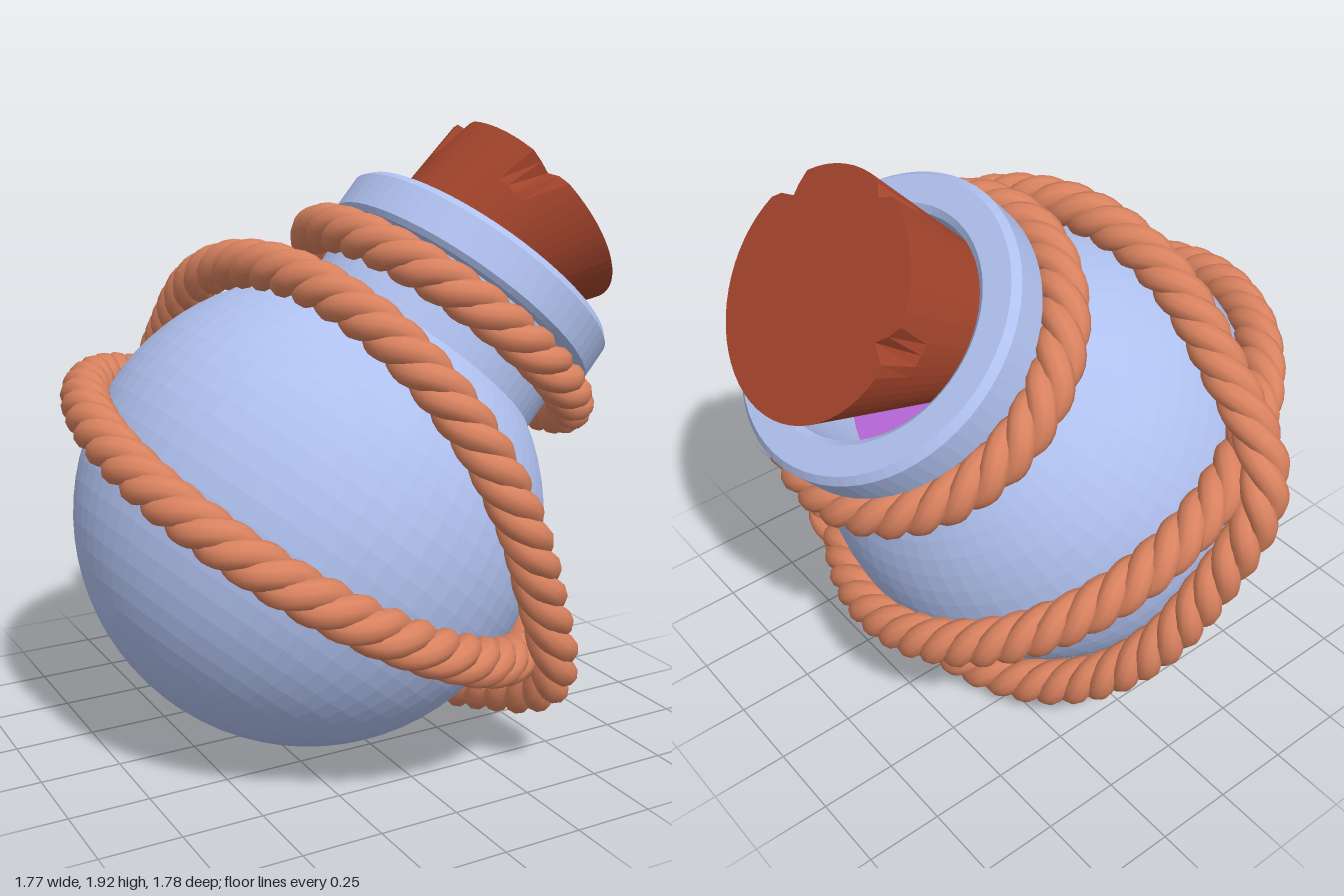
import * as THREE from 'three';

const CENTER = new THREE.Vector3(-0.11, 0.82, 0.045);
const TILT = -0.704; // lean of the bottle about z
const V = (x, y, z) => new THREE.Vector3(x, y, z);
const mat = (color, extra = {}) => new THREE.MeshStandardMaterial({ color, ...extra });

function add(parent, name, geometry, material) {
  const mesh = new THREE.Mesh(geometry, material);
  mesh.name = name;
  parent.add(mesh);
  return mesh;
}

// One strand twisting around a ring that lies in a plane through the ball
class Strand extends THREE.Curve {
  constructor(ring, phase) {
    super();
    this.ring = ring;
    this.phase = phase;
    this.u = V(0, 0, 1).cross(ring.normal).normalize();
    this.v = ring.normal.clone().cross(this.u);
  }
  getPoint(t, target = V()) {
    const { normal, offset, radius, turns, over } = this.ring;
    const a = t * Math.PI * 2, twist = turns * a + this.phase;
    const out = this.u.clone().multiplyScalar(Math.cos(a)).addScaledVector(this.v, Math.sin(a));
    let r = radius;
    if (over) { // lift where this rope crosses the other one
      const d = out.clone().multiplyScalar(radius).addScaledVector(normal, offset).dot(over);
      r += 0.1 * Math.exp(-((d / 0.17) ** 2));
    }
    return target.copy(out).multiplyScalar(r + 0.034 * Math.cos(twist))
      .addScaledVector(normal, offset + 0.034 * Math.sin(twist));
  }
}

function makeRope(name, ring, material) {
  const rope = new THREE.Group();
  rope.name = name;
  rope.position.copy(CENTER);
  for (let i = 0; i < 3; i++) {
    const curve = new Strand(ring, i * Math.PI * 2 / 3);
    add(rope, 'strand', new THREE.TubeGeometry(curve, ring.turns * 16, 0.042, 10, true), material);
  }
  return rope;
}

// Hollow round bottle with a collar, turned around its own axis
function bottleGeometry() {
  const pts = [], neck = Math.asin(0.42 / 0.73), inner = Math.asin(0.35 / 0.67);
  for (let i = 0; i <= 30; i++) {
    const a = Math.PI - (Math.PI - neck) * i / 30;
    pts.push([0.73 * Math.sin(a), 0.73 * Math.cos(a)]);
  }
  pts.push([0.42, 0.82], [0.465, 0.82], [0.48, 0.835], [0.48, 0.945], [0.46, 0.968],
    [0.37, 0.968], [0.35, 0.95]);
  for (let i = 0; i <= 16; i++) {
    const a = inner + (Math.PI - inner) * i / 16;
    pts.push([0.67 * Math.sin(a), 0.67 * Math.cos(a)]);
  }
  return new THREE.LatheGeometry(pts.map(([x, y]) => new THREE.Vector2(Math.max(x, 0), y)), 64);
}

// Ball of liquid cut level at the top
function liquidGeometry() {
  const g = new THREE.SphereGeometry(0.655, 40, 24), p = g.attributes.position;
  for (let i = 0; i < p.count; i++) p.setY(i, Math.min(p.getY(i), 0.15));
  return g;
}

// Tapered, slightly skewed stopper with chips in its upper edge
function corkGeometry() {
  const H = 0.5;
  const g = new THREE.CylinderGeometry(0.36, 0.21, H, 60, 4).translate(0, -H / 2, 0);
  const p = g.attributes.position;
  const chips = [[-0.02, -1, 0.08, 0.14], [-1, -0.2, 0.04, 0.12], [-0.6, 0.8, 0.06, 0.16]]
    .map(([x, z, depth, width]) => ({ angle: Math.atan2(z, x), depth, width }));
  for (let i = 0; i < p.count; i++) {
    let x = p.getX(i), z = p.getZ(i);
    const y = p.getY(i), r = Math.hypot(x, z);
    if (y > -0.01 && r > 0.1) {
      for (const c of chips) {
        const d = Math.atan2(z, x) - c.angle;
        const away = Math.abs(Math.atan2(Math.sin(d), Math.cos(d)));
        const k = 1 - c.depth * Math.max(0, 1 - away / c.width) / r;
        x *= k;
        z *= k;
      }
    }
    p.setXYZ(i, x + 0.05 * y / H, y, z + 0.08 * y / H);
  }
  return g;
}

export function createModel() {
  const model = new THREE.Group();
  model.name = 'ropedBottle';
  const ropeMat = mat(0xd9825f);

  const bottle = add(model, 'bottle', bottleGeometry(),
    mat(0xafc0ee, { flatShading: true, side: THREE.DoubleSide }));
  bottle.position.copy(CENTER);
  bottle.rotation.z = TILT;

  add(model, 'liquid', liquidGeometry(), mat(0xb565d6, { flatShading: true })).position.copy(CENTER);

  const cork = add(model, 'cork', corkGeometry(), mat(0xa5452c, { flatShading: true }));
  cork.position.set(0.68, 1.71, 0.06);
  cork.rotation.z = -0.944;

  // Neck rope, then two loops around the ball, the second passing over the first
  const axis = V(-Math.sin(TILT), Math.cos(TILT), 0);
  const low = V(0.456, 0.86, 0.23).normalize();
  const steep = V(0.898, 0.396, -0.195).normalize();
  model.add(
    makeRope('neckRope', { normal: axis, offset: 0.73, radius: 0.49, turns: 10 }, ropeMat),
    makeRope('lowerRope', { normal: low, offset: 0, radius: 0.785, turns: 17 }, ropeMat),
    makeRope('crossingRope', { normal: steep, offset: 0.15, radius: 0.79, turns: 17, over: low }, ropeMat));
  return model;
}
